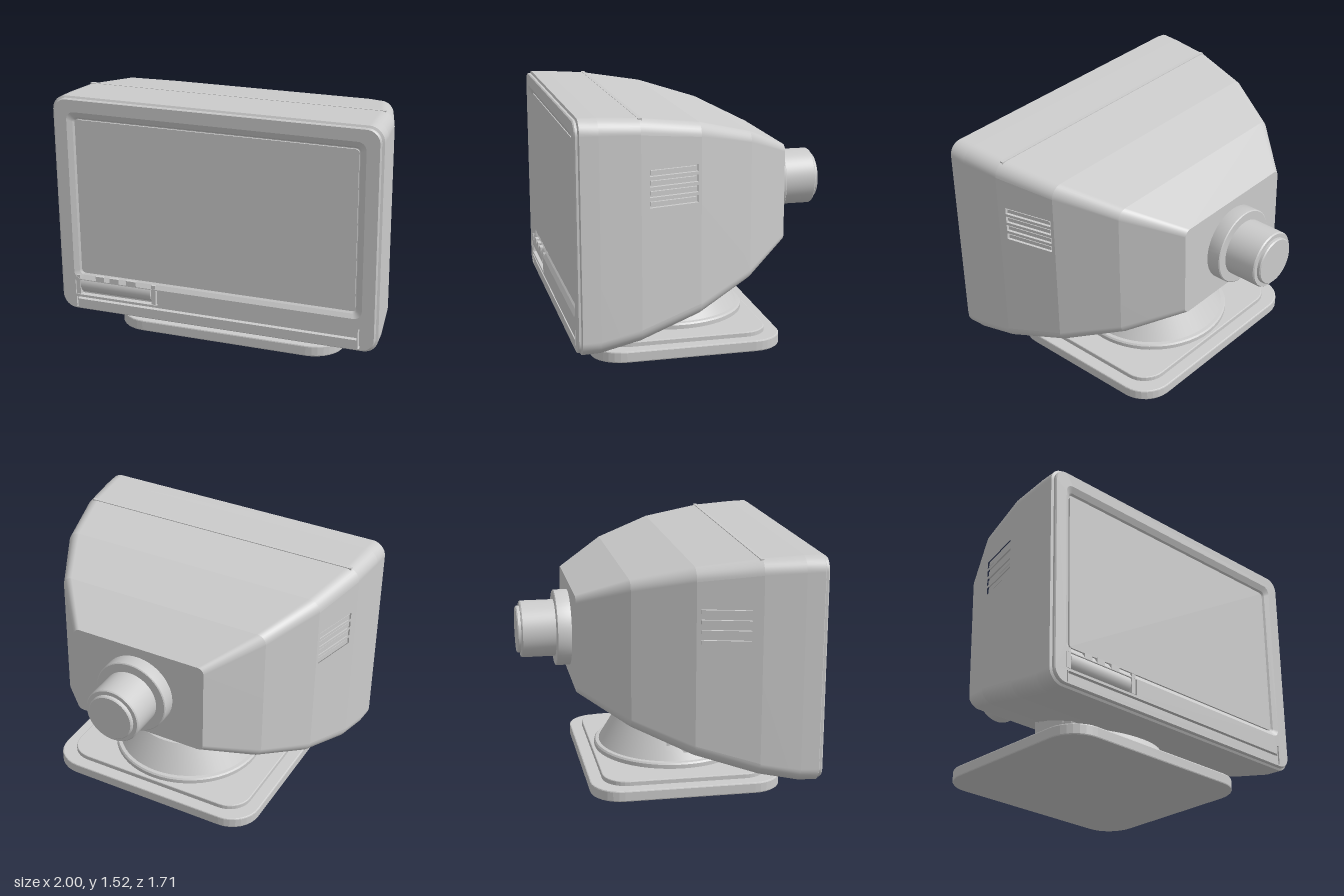
import * as THREE from 'three';
import { toCreasedNormals } from 'three/addons/utils/BufferGeometryUtils.js';

const mat = new THREE.MeshStandardMaterial({ color: 0xcccccc });
const SEG = 8; // segments per rounded corner

// Rounded rectangle outline, counter-clockwise from the right side
function outline(x0, x1, y0, y1, r) {
  const pts = [];
  [[x1 - r, y1 - r], [x0 + r, y1 - r], [x0 + r, y0 + r], [x1 - r, y0 + r]].forEach(([cx, cy], q) => {
    for (let i = 0; i <= SEG; i++) {
      const a = (q + i / SEG) * Math.PI / 2;
      pts.push(new THREE.Vector2(cx + r * Math.cos(a), cy + r * Math.sin(a)));
    }
  });
  return pts;
}

// Skin between rounded-rectangle sections [z, halfWidth, y0, y1, r];
// each band has its own vertices so the bands meet in hard edges
function loft(sections, skip = () => false) {
  const pos = [], idx = [], n = 4 * (SEG + 1);
  for (let s = 0; s < sections.length - 1; s++) {
    const base = s * 2 * n;
    for (const [z, hx, y0, y1, r] of [sections[s], sections[s + 1]])
      outline(-hx, hx, y0, y1, r).forEach(p => pos.push(p.x, p.y, z));
    for (let j = 0; j < n; j++) {
      if (skip(s, j)) continue;
      const a = base + j, b = base + (j + 1) % n;
      idx.push(a, a + n, b, b, a + n, b + n);
    }
  }
  const g = new THREE.BufferGeometry();
  g.setAttribute('position', new THREE.Float32BufferAttribute(pos, 3));
  g.setIndex(idx);
  g.computeVertexNormals();
  return g;
}

function plate(pts, depth, holes = [], bevel = 0) {
  const shape = new THREE.Shape(pts);
  holes.forEach(h => shape.holes.push(new THREE.Path(h)));
  const g = new THREE.ExtrudeGeometry(shape, {
    depth: depth - 2 * bevel, bevelEnabled: bevel > 0, bevelSize: bevel,
    bevelThickness: bevel, bevelOffset: -bevel, bevelSegments: 2, curveSegments: 8,
  });
  return g.translate(0, 0, bevel);
}

function turned(profile) {
  const pts = profile.map(p => new THREE.Vector2(...p));
  return toCreasedNormals(new THREE.LatheGeometry(pts, 56), 0.4);
}

export function createModel() {
  const model = new THREE.Group();
  model.name = 'monitor';
  const add = (name, geo, x = 0, y = 0, z = 0) => {
    const m = new THREE.Mesh(geo, mat);
    m.name = name;
    m.position.set(x, y, z);
    model.add(m);
    return m;
  };

  // Tapering housing, with the flat side walls left open for the vent panels
  const body = [
    [0.72, 0.995, 0.157, 1.517, 0.09],
    [0.48, 0.972, 0.205, 1.503, 0.085],
    [0.11, 0.88, 0.315, 1.45, 0.075],
    [-0.24, 0.70, 0.455, 1.35, 0.06],
    [-0.53, 0.445, 0.61, 1.21, 0.04],
  ];
  add('housing', loft(body, (s, j) => s === 1 && (j === 4 * SEG + 3 || j === 2 * SEG + 1)));
  add('housingBack', plate(outline(-0.445, 0.445, 0.61, 1.21, 0.04), 0.02), 0, 0, -0.53);
  add('topSeam', new THREE.BoxGeometry(1.84, 0.012, 0.022), 0, 1.499, 0.475);

  // Side walls with four recessed vent slots each
  const [, A, B] = body;
  const wallX = z => B[1] + (A[1] - B[1]) * (z - B[0]) / (A[0] - B[0]);
  const rows = [1.02, 1.08, 1.14, 1.20];
  for (const s of [1, -1]) {
    const wall = [[A[0], A[2] + A[4]], [A[0], A[3] - A[4]], [B[0], B[3] - B[4]], [B[0], B[2] + B[4]]];
    const slot = (y, e) => [[0.43 - e, y - 0.021 + e], [0.43 - e, y + 0.021 - e], [0.13 + e, y + 0.021 - e], [0.13 + e, y - 0.021 + e]];
    const vec = list => list.map(([z, y]) => new THREE.Vector2(s * z, y));
    const onWall = (geo, inset) => {
      const p = geo.attributes.position;
      for (let i = 0; i < p.count; i++) {
        const u = p.getX(i), w = p.getZ(i) + inset;
        p.setXYZ(i, s * (wallX(s * u) - w), p.getY(i), s * u);
      }
      geo.computeVertexNormals();
      return geo;
    };
    const side = s > 0 ? 'left' : 'right';
    add(side + 'Wall', onWall(plate(vec(wall), 0.025, rows.map(y => vec(slot(y, 0)))), 0));
    rows.forEach(y => add(side + 'VentSlat', onWall(plate(vec(slot(y, 0.009)), 0.02), 0.006)));
    add(side + 'VentBack', onWall(plate(vec([[0.45, 0.98], [0.45, 1.24], [0.12, 1.24], [0.12, 0.98]]), 0.01), 0.022));
  }

  // Front bezel: rim, pierced face and solid backing
  add('bezelRim', loft([
    [0.855, 0.98, 0.172, 1.503, 0.075],
    [0.848, 0.986, 0.167, 1.508, 0.08],
    [0.835, 0.986, 0.167, 1.508, 0.08],
    [0.828, 1.0, 0.155, 1.52, 0.09],
    [0.72, 0.995, 0.157, 1.517, 0.09],
  ]));
  add('bezelFace', plate(outline(-0.98, 0.98, 0.172, 1.503, 0.075), 0.04, [
    outline(-0.905, 0.905, 0.365, 1.43, 0.05),
    outline(-0.90, -0.36, 0.262, 0.36, 0.004),
    outline(-0.885, 0.88, 0.232, 0.247, 0.004),
    outline(0.885, 0.897, 0.18, 0.305, 0.004),
    outline(-0.897, -0.889, 0.18, 0.247, 0.003),
  ]), 0, 0, 0.815);
  add('bezelBacking', plate(outline(-0.975, 0.975, 0.18, 1.495, 0.075), 0.09), 0, 0, 0.73);

  // Screen with its sloping surround
  add('screenSurround', loft([
    [0.828, 0.865, 0.40, 1.385, 0.025],
    [0.838, 0.875, 0.39, 1.395, 0.03],
    [0.855, 0.905, 0.365, 1.43, 0.05],
  ]));
  add('screen', plate(outline(-0.858, 0.858, 0.407, 1.378, 0.02), 0.015), 0, 0, 0.815);

  // Control compartment at the lower corner
  add('controlRoll', new THREE.CylinderGeometry(0.065, 0.065, 0.46, 32).rotateZ(Math.PI / 2), -0.635, 0.328, 0.79);
  for (const x of [-0.882, -0.385])
    add('controlEndCap', new THREE.BoxGeometry(0.028, 0.125, 0.05), x, 0.327, 0.829);
  for (const [x, w] of [[-0.735, 0.055], [-0.64, 0.06], [-0.53, 0.065]])
    add('controlButton', new THREE.BoxGeometry(w, 0.035, 0.04), x, 0.378, 0.835);

  // Rear tube neck
  add('rearNeck', turned([
    [0.23, -0.02], [0.238, 0], [0.238, 0.085], [0.232, 0.09], [0.178, 0.09],
    [0.178, 0.295], [0.172, 0.303], [0.147, 0.303], [0.147, 0.32], [0.141, 0.327], [0, 0.327],
  ]).rotateX(-Math.PI / 2), 0, 0.91, -0.53);

  // Stand: two stepped plates, round flange and cone
  const foot = (hx, hz, r, h, bevel) =>
    plate(outline(-hx, hx, -hz, hz, r), h, [], bevel).rotateX(-Math.PI / 2);
  add('basePlate', foot(0.72, 0.59, 0.19, 0.07, 0.008), 0, 0, 0.12);
  add('baseStep', foot(0.64, 0.51, 0.15, 0.04, 0.006), 0, 0.06, 0.12);
  add('swivelCone', turned([
    [0.475, 0.09], [0.488, 0.1], [0.488, 0.125], [0.48, 0.135], [0.458, 0.138], [0.352, 0.316], [0.342, 0.32], [0, 0.32],
  ]), 0, 0, 0.12);

  // Tilt pivot: saddle and stepped discs on both sides
  add('tiltSaddle', plate(outline(-0.36, -0.03, 0.18, 0.4, 0.05), 0.8).rotateY(Math.PI / 2), -0.4, 0, 0);
  add('tiltAxle', new THREE.CylinderGeometry(0.148, 0.148, 0.86, 40).rotateZ(Math.PI / 2), 0, 0.28, 0.245);
  add('tiltKnob', new THREE.CylinderGeometry(0.085, 0.085, 0.89, 32).rotateZ(Math.PI / 2), 0, 0.28, 0.245);
  return model;
}
